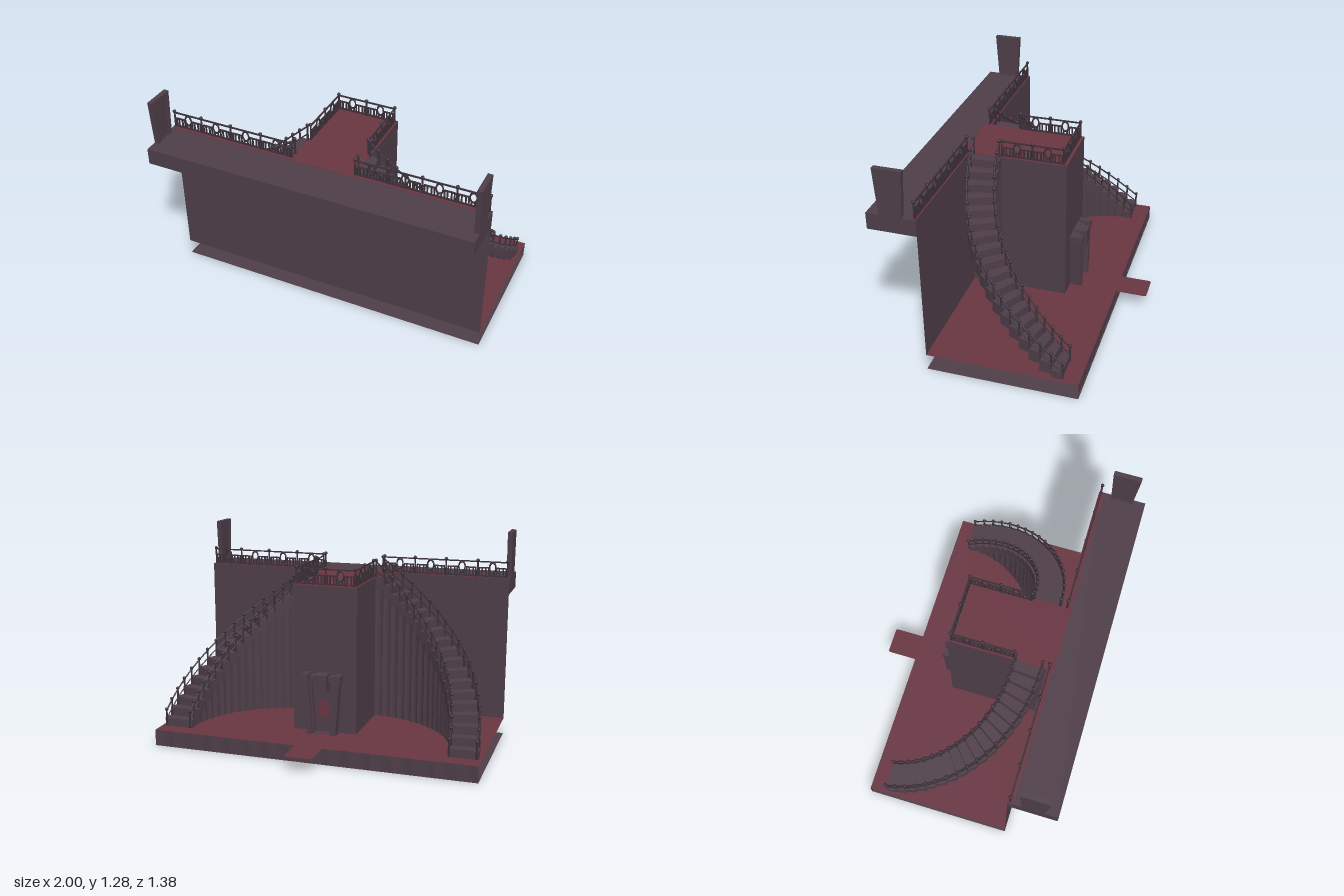
import * as THREE from 'three';

const mat = (name, color) => new THREE.MeshStandardMaterial({ name, color, side: THREE.DoubleSide });

export function createModel() {
  const stone = mat('plum stone', 0x4e3d48);
  const red = mat('red carpet', 0x683541);
  const iron = mat('dark railing', 0x3c3038);
  const model = new THREE.Group();

  const add = (parent, name, geo, material, x = 0, y = 0, z = 0) => {
    const m = new THREE.Mesh(geo, material);
    m.name = name;
    m.position.set(x, y, z);
    parent.add(m);
    return m;
  };
  const group = (name, parent = model) => {
    const g = new THREE.Group();
    g.name = name;
    parent.add(g);
    return g;
  };
  // box given by its limits
  const box = (parent, name, material, x0, x1, y0, y1, z0, z1) =>
    add(parent, name, new THREE.BoxGeometry(x1 - x0, y1 - y0, z1 - z0), material,
      (x0 + x1) / 2, (y0 + y1) / 2, (z0 + z1) / 2);
  // horizontal sheet
  const sheet = (name, material, x0, x1, y, z0, z1) =>
    add(model, name, new THREE.PlaneGeometry(x1 - x0, z1 - z0).rotateX(-Math.PI / 2), material,
      (x0 + x1) / 2, y, (z0 + z1) / 2);

  // ground, floor and the fluted strip along the back edge
  sheet('groundSheet', stone, -1, 1, 0, -0.5, 0.4);
  sheet('floor', red, -1, 1, 0.1, -0.5, 0.4);
  const tongue = new THREE.Shape();
  tongue.moveTo(-0.085, 0.5);
  tongue.lineTo(0.085, 0.5);
  tongue.lineTo(0.085, 0.675);
  tongue.quadraticCurveTo(0.085, 0.69, 0.07, 0.69);
  tongue.lineTo(-0.07, 0.69);
  tongue.quadraticCurveTo(-0.085, 0.69, -0.085, 0.675);
  add(model, 'entranceTongue', new THREE.ShapeGeometry(tongue).rotateX(-Math.PI / 2), red, 0, 0.1, 0);
  const strip = new THREE.PlaneGeometry(2, 0.1, 128, 1);
  const sp = strip.attributes.position;
  for (let i = 0; i < sp.count; i++) {
    sp.setZ(i, 0.01 * Math.abs(Math.sin((sp.getX(i) + 1) * Math.PI * 8)));
  }
  strip.computeVertexNormals();
  add(model, 'flutedEdge', strip, stone, 0, 0.05, -0.5);

  // wall, upper gallery and central block
  add(model, 'mainWall', new THREE.PlaneGeometry(2, 0.8), stone, 0, 0.5, 0.4);
  box(model, 'gallery', stone, -1, 1, 0.9, 1, 0.4, 0.69);
  box(model, 'galleryCarpet', red, -0.99, 0.99, 0.998, 1.003, 0.4, 0.435);
  box(model, 'centralBlock', stone, -0.2, 0.2, 0.1, 0.998, -0.2, 0.4);
  box(model, 'landingCarpet', red, -0.2, 0.2, 0.998, 1.003, -0.2, 0.44);

  // posts with ball tops
  const post = (parent, x, y, z, h) => {
    add(parent, 'post', new THREE.CylinderGeometry(0.005, 0.007, h, 8), iron, x, y + h / 2, z);
    add(parent, 'postBall', new THREE.SphereGeometry(0.011, 10, 8), iron, x, y + h, z);
  };

  // one straight railing bay between two ground points
  const bay = (parent, x0, z0, x1, z1) => {
    const b = group('railingBay', parent);
    const len = Math.hypot(x1 - x0, z1 - z0);
    b.position.set((x0 + x1) / 2, 1, (z0 + z1) / 2);
    b.rotation.y = -Math.atan2(z1 - z0, x1 - x0);
    const h = len / 2;
    const t = 0.004;
    box(b, 'topRail', iron, -h, h, 0.094, 0.102, -t, t);
    box(b, 'bottomRail', iron, -h, h, 0.004, 0.013, -t, t);
    const ring = add(b, 'ovalRing', new THREE.TorusGeometry(0.021, 0.005, 6, 18), iron, 0, 0.062, 0);
    ring.scale.set(0.95, 1.5, 1);
    for (const s of [-1, 1]) {
      const c = s * len * 0.29;
      box(b, 'panelTop', iron, c - 0.032, c + 0.032, 0.056, 0.064, -t, t);
      for (const d of [-0.029, -0.012, 0.012, 0.029]) {
        box(b, 'panelBar', iron, c + d - 0.004, c + d + 0.004, 0.01, 0.06, -t, t);
      }
      box(b, 'ringFoot', iron, s * 0.011 - 0.004, s * 0.011 + 0.004, 0.01, 0.035, -t, t);
    }
  };
  const railing = (name, points) => {
    const g = group(name);
    points.forEach(([x, z], i) => {
      post(g, x, 1, z, 0.105);
      if (i) bay(g, points[i - 1][0], points[i - 1][1], x, z);
    });
  };
  for (const s of [-1, 1]) {
    railing('galleryRailing', [0.2, 0.4, 0.6, 0.8, 0.985].map((x) => [s * x, 0.412]));
  }
  railing('landingRailing', [[-0.185, 0.2], [-0.185, 0.012], [-0.185, -0.178], [0, -0.178],
    [0.185, -0.178], [0.185, 0.012], [0.185, 0.2]]);

  // curved stairs: quarter turns around (+-0.2, -0.4)
  const STEPS = 18, R0 = 0.6, R1 = 0.78, QUARTER = Math.PI / 2;
  const spot = (s, r, t, y) => new THREE.Vector3(
    s * (0.2 + r * Math.cos(t * QUARTER)), y, -0.4 + r * Math.sin(t * QUARTER));
  for (const s of [-1, 1]) {
    const stair = group(s > 0 ? 'leftStair' : 'rightStair');
    for (let i = 0; i < STEPS; i++) {
      const top = 0.1 + 0.05 * (i + 1);
      const shape = new THREE.Shape();
      const corners = [[R0, 0], [R1, 0], [R1, 0.5], [R1, 1], [R0, 1], [R0, 0.5]];
      corners.forEach(([r, d], k) => {
        const p = spot(s, r, (i + d) / STEPS, 0);
        if (k) shape.lineTo(p.x, p.z);
        else shape.moveTo(p.x, p.z);
      });
      const depth = i ? 0.075 : 0.05;
      const geo = new THREE.ExtrudeGeometry(shape, { depth, bevelEnabled: false }).rotateX(QUARTER);
      add(stair, 'step', geo, stone, 0, top - 0.001, 0);
      // fluted supporting wall under the inner edge
      const flute = new THREE.PlaneGeometry(1, 1, 6, 1);
      const fp = flute.attributes.position;
      for (let k = 0; k < fp.count; k++) {
        const u = fp.getX(k) + 0.5;
        const p = spot(s, R0 + 0.009 * Math.sin(u * Math.PI), (i + u) / STEPS,
          fp.getY(k) > 0 ? top - 0.02 : 0.1);
        fp.setXYZ(k, p.x, p.y, p.z);
      }
      flute.computeVertexNormals();
      add(stair, 'supportFlute', flute, stone);
    }
    // stair railings on both edges
    for (const r of [R0 + 0.012, R1 - 0.01]) {
      for (let i = 0; i <= STEPS; i++) {
        const p = spot(s, r, i / STEPS, 0.1 + 0.05 * i);
        post(stair, p.x, p.y, p.z, 0.105);
      }
      for (const [lift, radius] of [[0.097, 0.005], [0.045, 0.004]]) {
        const pts = [];
        for (let i = 0; i <= STEPS; i++) pts.push(spot(s, r, i / STEPS, 0.1 + 0.05 * i + lift));
        add(stair, 'handrail',
          new THREE.TubeGeometry(new THREE.CatmullRomCurve3(pts), 54, radius, 6), iron);
      }
    }
  }

  // tapered outline, wider at the top
  const taper = (Type, bottom, top, y0, y1) => {
    const p = new Type();
    p.moveTo(-bottom, y0);
    p.lineTo(bottom, y0);
    p.lineTo(top, y1);
    p.lineTo(-top, y1);
    p.closePath();
    return p;
  };
  const door = (name, b, t, h, inset, depth, leafDepth) => {
    const g = group(name);
    const frame = taper(THREE.Shape, b, t, 0, h);
    frame.holes.push(taper(THREE.Path, b - inset, t - inset, 0.004, h - inset));
    add(g, 'doorFrame', new THREE.ExtrudeGeometry(frame, { depth, bevelEnabled: false }), stone);
    add(g, 'doorLeaf', new THREE.ExtrudeGeometry(
      taper(THREE.Shape, b - inset, t - inset, 0.004, h - inset),
      { depth: leafDepth, bevelEnabled: false }), stone);
    return g;
  };

  // gallery end doors facing inward
  for (const s of [-1, 1]) {
    const d = door('galleryDoor', 0.066, 0.084, 0.28, 0.02, 0.03, 0.022);
    d.position.set(s, 1, 0.547);
    d.rotation.y = -s * QUARTER;
  }

  // ground door with leaning pillars on the back of the block
  const portal = door('groundDoor', 0.08, 0.1, 0.36, 0.03, 0.05, 0.015);
  portal.position.set(0, 0.1, -0.2);
  portal.rotation.y = Math.PI;
  for (const s of [-1, 1]) {
    const pillar = box(portal, 'doorPillar', stone, -0.016, 0.016, 0, 0.37, 0.02, 0.075);
    pillar.position.x = s * 0.088;
    pillar.rotation.z = -s * 0.07;
    box(portal, 'pillarCap', stone, s * 0.1 - 0.02, s * 0.1 + 0.02, 0.33, 0.375, 0.01, 0.082);
  }
  box(portal, 'keystone', stone, -0.038, 0.038, 0.27, 0.375, 0.01, 0.088);
  box(portal, 'doorPanel', red, -0.035, 0.035, 0.1, 0.2, 0.014, 0.018);

  return model;
}
